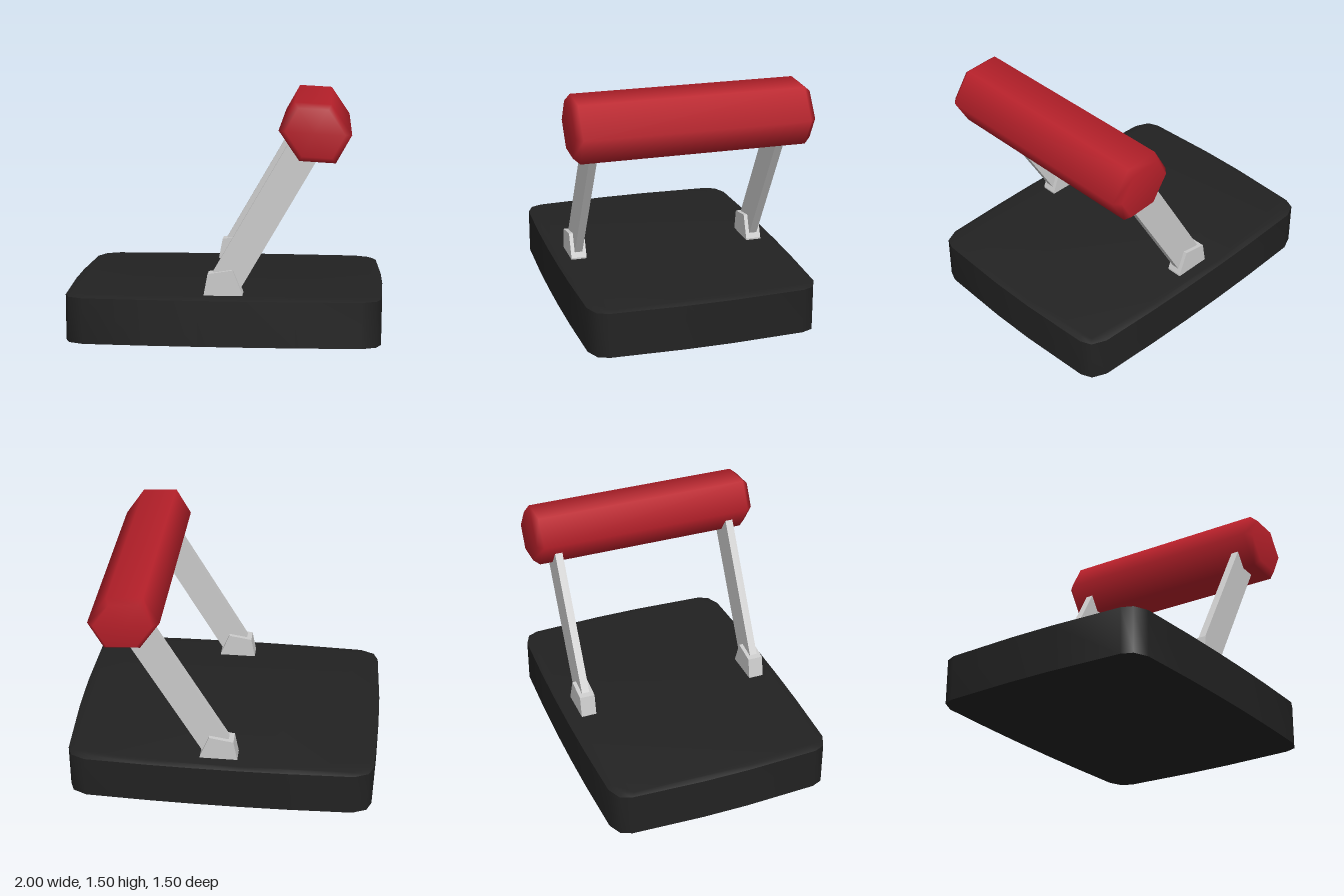
import * as THREE from 'three';
import { toCreasedNormals } from 'three/addons/utils/BufferGeometryUtils.js';

const grey = new THREE.MeshStandardMaterial({ color: 0xcccccc });
const black = new THREE.MeshStandardMaterial({ color: 0x222222 });
const red = new THREE.MeshStandardMaterial({ color: 0xb8202a });

function part(name, geometry, material) {
  const mesh = new THREE.Mesh(geometry, material);
  mesh.name = name;
  return mesh;
}

// Slab with bowed sides, rounded corners and a slight bevel around the top
function baseGeometry() {
  const quarter = [[1, 0.15], [0.98, 0.62], [0.95, 0.69], [0.86, 0.73], [0.45, 0.745], [0.15, 0.75]];
  const flipped = quarter.slice().reverse();
  const outline = [
    ...quarter,
    ...flipped.map(([x, z]) => [-x, z]),
    ...quarter.map(([x, z]) => [-x, -z]),
    ...flipped.map(([x, z]) => [x, -z]),
  ].map(([x, z]) => new THREE.Vector2(x, z));
  const geo = new THREE.ExtrudeGeometry(new THREE.Shape(outline), { depth: 0.3, steps: 2, bevelEnabled: false });
  const p = geo.attributes.position;
  for (let i = 0; i < p.count; i++) {
    if (p.getZ(i) > 0.29) p.setXY(i, p.getX(i) * 0.97, p.getY(i) * 0.96);
    else if (p.getZ(i) > 0.1) p.setZ(i, 0.288);
  }
  geo.rotateX(-Math.PI / 2);
  return toCreasedNormals(geo, 0.8);
}

// Six-sided padded roller with chamfered ends, slightly flattened and tilted
function rollerGeometry() {
  const profile = [[0, -0.75], [0.82, -0.75], [1, -0.71], [1, 0.71], [0.82, 0.75], [0, 0.75]];
  const geo = new THREE.LatheGeometry(profile.map(([r, y]) => new THREE.Vector2(r, y)), 6);
  const matrix = new THREE.Matrix4().makeBasis(
    new THREE.Vector3(-0.017, 0.204, 0),
    new THREE.Vector3(0, 0, 1),
    new THREE.Vector3(0.22, -0.0125, 0)
  );
  return geo.applyMatrix4(matrix).translate(0.565, 1.32, 0);
}

// Wedge-shaped foot that holds an arm
function bracketGeometry() {
  const points = [[-0.117, 0.29], [0.125, 0.29], [0.125, 0.31], [0.065, 0.46], [-0.09, 0.435]];
  const shape = new THREE.Shape(points.map(([x, y]) => new THREE.Vector2(x, y)));
  return new THREE.ExtrudeGeometry(shape, { depth: 0.1, bevelEnabled: false }).translate(0, 0, -0.05);
}

export function createModel() {
  const model = new THREE.Group();
  model.name = 'paddedRollerStand';
  model.add(part('base', baseGeometry(), black));
  model.add(part('roller', rollerGeometry(), red));

  // A slanted flat arm and its bracket on each side
  for (const [side, z] of [['front', 0.6], ['back', -0.6]]) {
    const bracket = part(side + 'Bracket', bracketGeometry(), grey);
    bracket.position.z = z;
    const arm = part(side + 'Arm', new THREE.BoxGeometry(0.2, 1, 0.05).translate(0, 0.5, 0), grey);
    arm.position.set(0.0275, 0.395, z);
    arm.rotation.z = -Math.PI / 6;
    model.add(bracket, arm);
  }
  return model;
}
